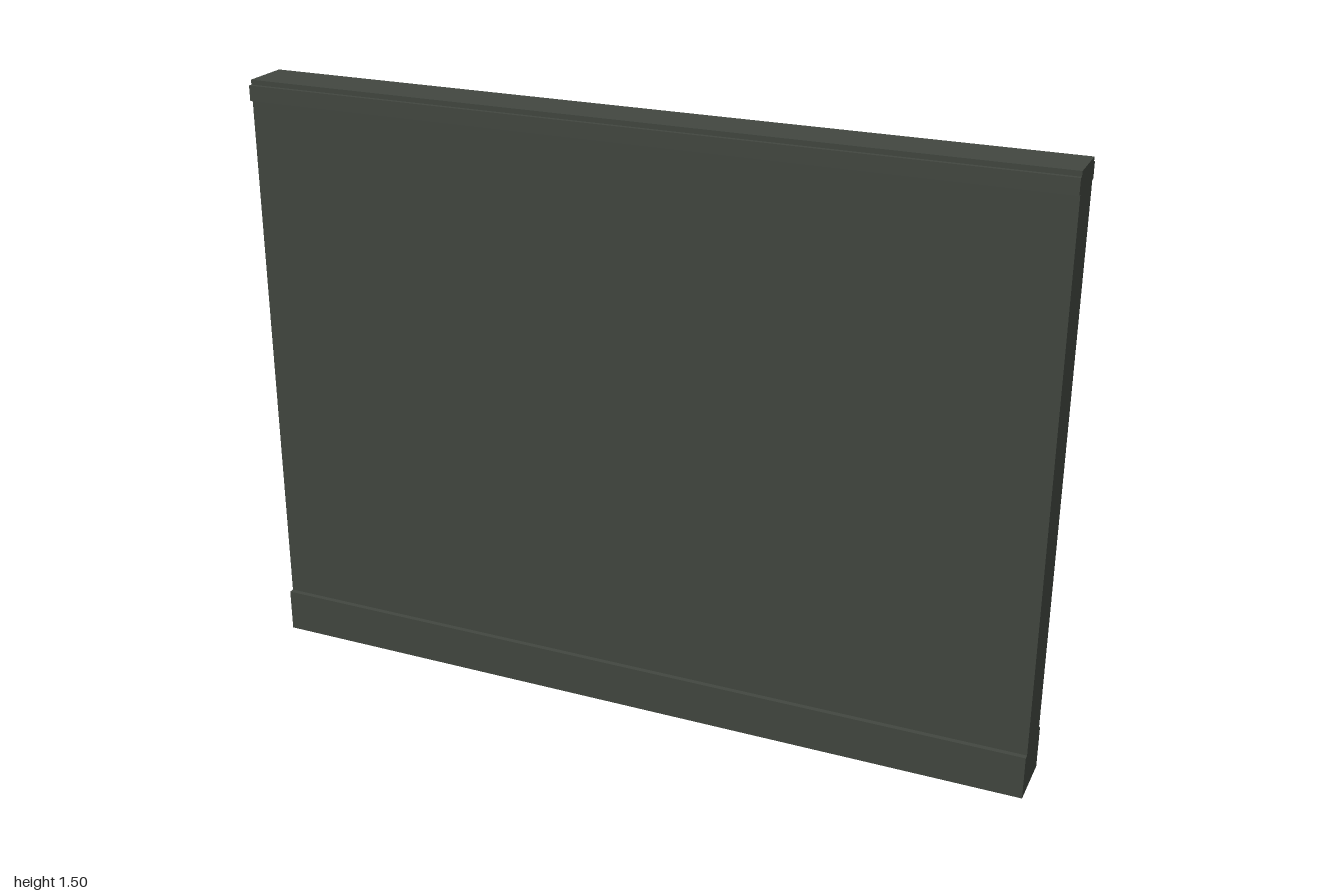
import * as THREE from 'three';

export function createModel() {
  const group = new THREE.Group();
  const paint = new THREE.MeshStandardMaterial({ color: 0x424740 });
  paint.name = 'dark grey green';

  const LENGTH = 2;
  const CORE = 0.06; // half thickness of the wall

  function box(name, y0, y1, z0, z1) {
    const mesh = new THREE.Mesh(new THREE.BoxGeometry(LENGTH, y1 - y0, z1 - z0), paint);
    mesh.position.set(0, (y0 + y1) / 2, (z0 + z1) / 2);
    mesh.name = name;
    group.add(mesh);
  }

  // Main wall slab
  box('wallPanel', 0, 1.5, -CORE, CORE);

  // Skirting and top trim, mirrored on both faces
  for (const [side, s] of [['front', 1], ['back', -1]]) {
    const strip = (name, y0, y1, depth) =>
      box(side + name, y0, y1, Math.min(s * CORE, s * depth), Math.max(s * CORE, s * depth));
    strip('Baseboard', 0, 0.11, 0.073);
    strip('TopTrim', 1.45, 1.488, 0.07);
  }
  return group;
}
